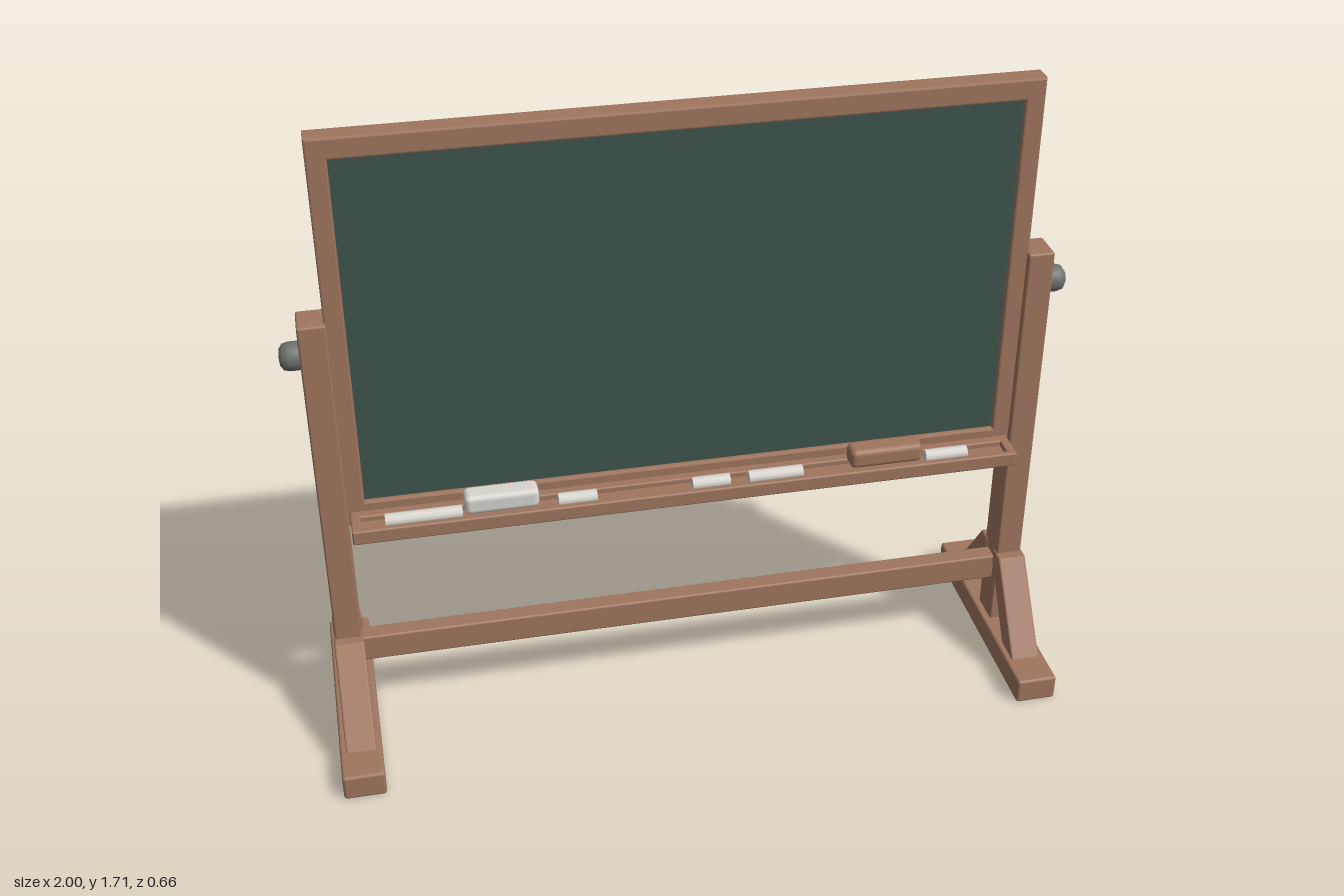
import * as THREE from 'three';
import { RoundedBoxGeometry } from 'three/addons/geometries/RoundedBoxGeometry.js';

const material = (name, color) => {
  const m = new THREE.MeshStandardMaterial({ color });
  m.name = name;
  return m;
};

export function createModel() {
  const wood = material('wood', 0xa0765f);
  const slate = material('slate green', 0x3f534c);
  const metal = material('grey metal', 0x6c716d);
  const white = material('chalk white', 0xd8d5ce);

  const model = new THREE.Group();
  model.name = 'chalkboard';

  const add = (name, geometry, mat, parent = model) => {
    const mesh = new THREE.Mesh(geometry, mat);
    mesh.name = name;
    parent.add(mesh);
    return mesh;
  };
  // Softly rounded box given by its limits on each axis
  const box = (name, mat, [x0, x1], [y0, y1], [z0, z1], r = 0.006, parent = model) => {
    const g = new RoundedBoxGeometry(x1 - x0, y1 - y0, z1 - z0, 2, r);
    g.translate((x0 + x1) / 2, (y0 + y1) / 2, (z0 + z1) / 2);
    return add(name, g, mat, parent);
  };
  const rectangle = (path, w, y0, y1) => {
    path.moveTo(-w, y0);
    path.lineTo(w, y0);
    path.lineTo(w, y1);
    path.lineTo(-w, y1);
    path.closePath();
    return path;
  };

  // Writing panel and its frame
  const bevel = 0.005;
  const outline = rectangle(new THREE.Shape(), 0.88, 0.65, 1.7);
  outline.holes.push(rectangle(new THREE.Path(), 0.84, 0.705, 1.655));
  const frame = new THREE.ExtrudeGeometry(outline, {
    depth: 0.05, bevelThickness: bevel, bevelSize: bevel, bevelSegments: 2,
  });
  frame.translate(0, 0, -0.025);
  add('frame', frame, wood);
  const panel = new THREE.BoxGeometry(1.69, 0.96, 0.03);
  panel.translate(0, 1.18, 0);
  add('writingPanel', panel, slate);
  box('bottomRail', wood, [-0.86, 0.86], [0.6, 0.66], [-0.038, 0.038]);

  // Stand: foot, post, braces and pivot knob on each side
  for (const side of [1, -1]) {
    const stand = new THREE.Group();
    stand.name = side > 0 ? 'leftStand' : 'rightStand';
    model.add(stand);
    const span = (a, b) => (side > 0 ? [a, b] : [-b, -a]);
    box('foot', wood, span(0.86, 0.97), [0, 0.072], [-0.332, 0.332], 0.008, stand);
    box('post', wood, span(0.88, 0.95), [0.06, 1.235], [-0.046, 0.046], 0.006, stand);

    for (const s of [1, -1]) {
      const profile = [[0.235, 0.068], [0.068, 0.295], [0.03, 0.295], [0.03, 0.265], [0.16, 0.068]];
      const brace = new THREE.ExtrudeGeometry(
        new THREE.Shape(profile.map(([z, y]) => new THREE.Vector2(z * s, y))),
        { depth: 0.068, bevelThickness: bevel, bevelSize: bevel, bevelSegments: 2 });
      brace.translate(0, 0, -0.034);
      brace.rotateY(-Math.PI / 2);
      brace.translate(side * 0.915, 0, 0);
      add(s > 0 ? 'frontBrace' : 'backBrace', brace, wood, stand);
    }

    const knob = new THREE.LatheGeometry(
      [[0, 0.94], [0.033, 0.94], [0.036, 0.955], [0.036, 0.975], [0.032, 0.99], [0.02, 0.998], [0, 1]]
        .map(([r, y]) => new THREE.Vector2(r, y)), 24);
    knob.rotateZ(-side * Math.PI / 2);
    knob.translate(0, 1.138, 0);
    add('pivotKnob', knob, metal, stand);
  }
  box('crossRail', wood, [-0.885, 0.885], [0.2, 0.276], [-0.025, 0.025]);

  // Grooved ledges with chalk sticks on both faces
  const sticks = [[-0.79, -0.595], [-0.35, -0.25], [0, 0.1], [0.15, 0.295], [0.63, 0.745]];
  for (const s of [1, -1]) {
    const ledge = new THREE.Group();
    ledge.name = s > 0 ? 'frontLedge' : 'backLedge';
    model.add(ledge);
    const depth = (a, b) => (s > 0 ? [a, b] : [-b, -a]);
    box('shelf', wood, [-0.875, 0.875], [0.645, 0.67], depth(0.025, 0.121), 0.005, ledge);
    box('lip', wood, [-0.875, 0.875], [0.647, 0.685], depth(0.103, 0.121), 0.005, ledge);
    box('innerStrip', wood, [-0.875, 0.875], [0.647, 0.685], depth(0.025, 0.055), 0.005, ledge);
    for (const e of [[-0.875, -0.85], [0.85, 0.875]]) {
      box('endCap', wood, e, [0.647, 0.685], depth(0.03, 0.12), 0.005, ledge);
    }
    for (const [a, b] of sticks) {
      const chalk = new THREE.CylinderGeometry(0.018, 0.018, b - a, 12);
      chalk.rotateZ(Math.PI / 2);
      chalk.translate((a + b) / 2, 0.682, s * 0.079);
      add('chalk', chalk, white, ledge);
    }
  }

  // Two erasers resting on the front ledge
  box('whiteEraser', white, [-0.59, -0.4], [0.684, 0.738], [0.048, 0.108], 0.015);
  box('woodEraser', wood, [0.42, 0.615], [0.684, 0.738], [0.048, 0.108], 0.015);

  return model;
}
